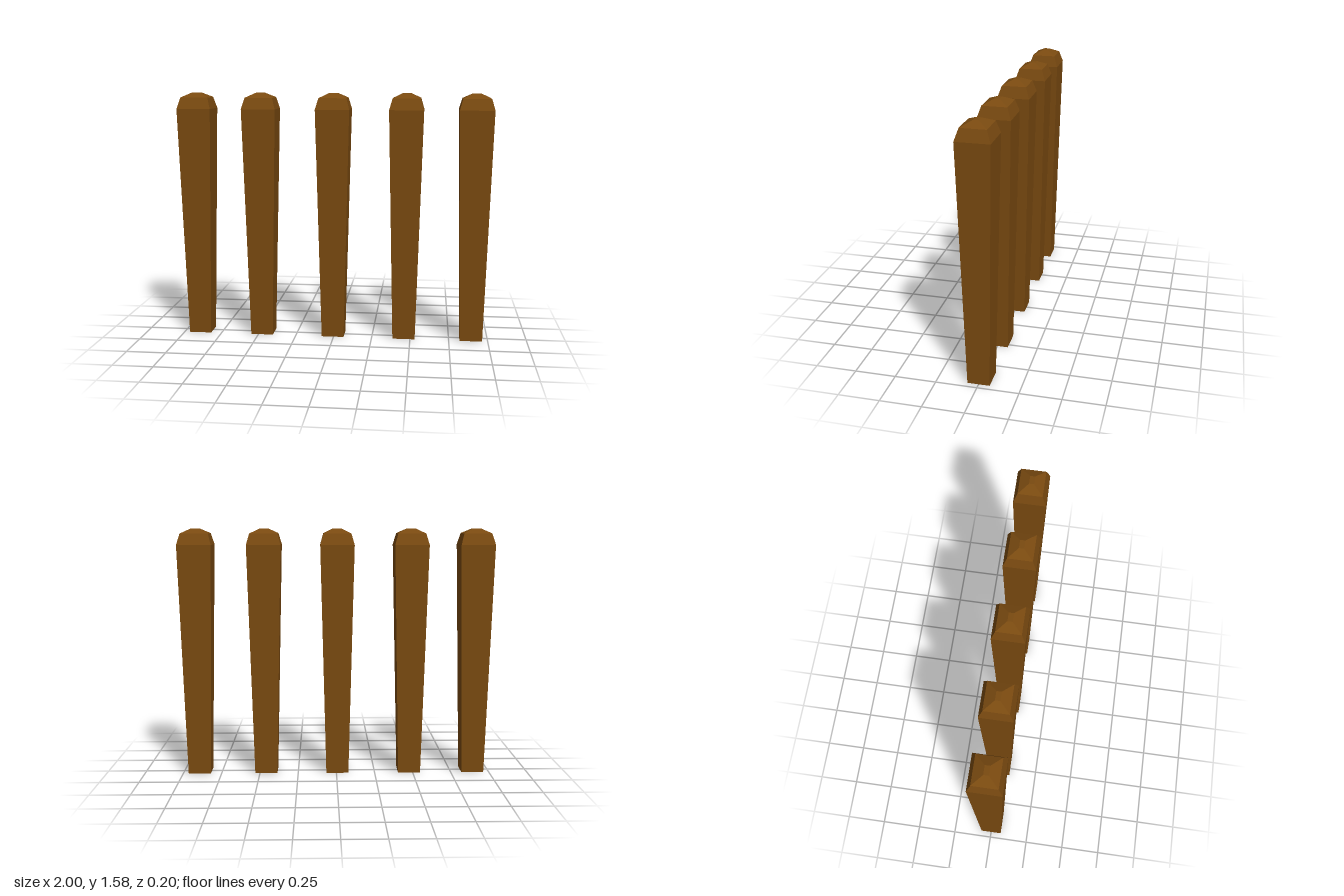
import * as THREE from 'three';

// Cross-sections of a post from bottom to top: [height, half width, half depth]
const SECTIONS = [
  [0, 0.072, 0.067],
  [1.482, 0.108, 0.1],
  [1.553, 0.088, 0.076],
  [1.583, 0.027, 0.015],
];

// Four-sided prism whose rings are moved onto the sections
function postGeometry() {
  const steps = SECTIONS.length - 1;
  const geometry = new THREE.CylinderGeometry(Math.SQRT2, Math.SQRT2, steps, 4, steps, false, Math.PI / 4);
  const p = geometry.attributes.position;
  for (let i = 0; i < p.count; i++) {
    const [y, halfWidth, halfDepth] = SECTIONS[Math.round(p.getY(i) + steps / 2)];
    p.setXYZ(i, p.getX(i) * halfWidth, y, p.getZ(i) * halfDepth);
  }
  const flat = geometry.toNonIndexed();
  flat.computeVertexNormals();
  return flat;
}

export function createModel() {
  const model = new THREE.Group();
  model.name = 'postRow';
  const wood = new THREE.MeshStandardMaterial({ color: 0x7a4a10, flatShading: true });
  const geometry = postGeometry();

  // Slightly uneven row of posts
  [-0.892, -0.476, -0.006, 0.458, 0.892].forEach((x, i) => {
    const post = new THREE.Mesh(geometry, wood);
    post.name = `post${i + 1}`;
    post.position.x = x;
    model.add(post);
  });
  return model;
}
